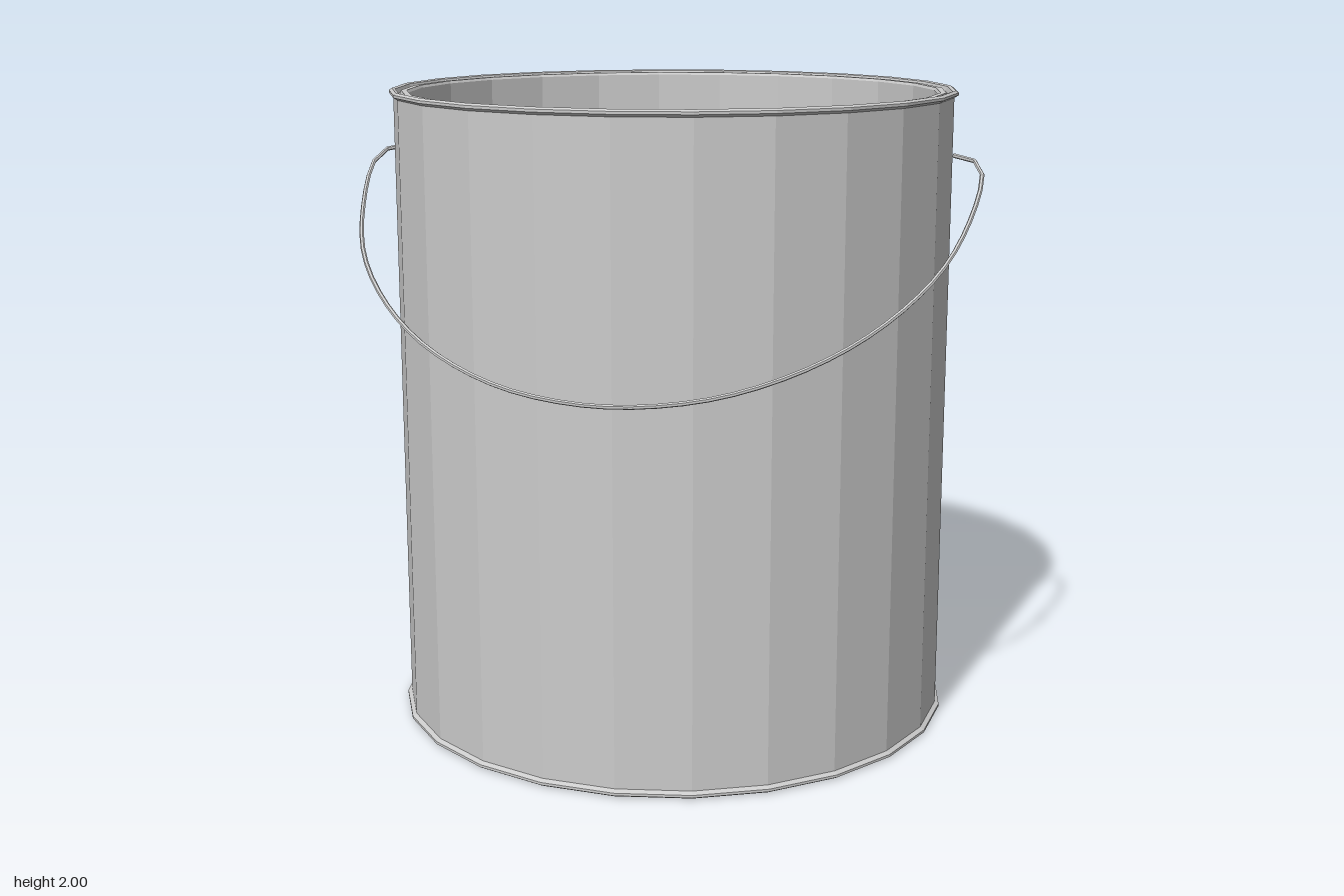
import * as THREE from 'three';

const SIDES = 24;
const CENTRE_Z = -0.033;

function lathe(name, profile, material) {
  const points = profile.map(([r, y]) => new THREE.Vector2(r, y));
  const mesh = new THREE.Mesh(new THREE.LatheGeometry(points, SIDES), material);
  mesh.name = name;
  mesh.position.z = CENTRE_Z;
  return mesh;
}

export function createModel() {
  const model = new THREE.Group();
  model.name = 'paintCan';
  const metal = new THREE.MeshStandardMaterial({
    color: 0xcccccc, flatShading: true, side: THREE.DoubleSide,
  });

  // Outer wall, inner wall and floor
  model.add(lathe('outerWall', [[0.872, 0.015], [0.872, 1.985]], metal));
  model.add(lathe('innerWall', [[0.825, 1.985], [0.825, 0.02], [0, 0.02]], metal));

  // Flat underside with its rolled seam
  model.add(lathe('base', [[0, 0.004], [0.865, 0.004], [0.875, 0], [0.885, 0.006], [0.885, 0.014], [0.872, 0.022]], metal));

  // Rolled rim, groove and inner lip
  model.add(lathe('rim', [
    [0.872, 1.978], [0.885, 1.986], [0.885, 1.994], [0.876, 2], [0.866, 1.997],
    [0.86, 1.982], [0.852, 1.982], [0.848, 1.993], [0.83, 1.993], [0.825, 1.985],
  ], metal));

  // Wire handle: one half listed from the hooked end to the middle, then mirrored
  const half = [
    [-0.875, 1.803, -0.035], [-0.94, 1.79, -0.012], [-0.966, 1.76, 0.035], [-0.943, 1.635, 0.22],
    [-0.868, 1.505, 0.425], [-0.725, 1.382, 0.61], [-0.547, 1.29, 0.755],
    [-0.325, 1.222, 0.86], [-0.1, 1.192, 0.905],
  ].map((p) => new THREE.Vector3(...p));
  const mirrored = half.map((p) => new THREE.Vector3(-p.x, p.y, p.z)).reverse();
  const path = new THREE.CatmullRomCurve3([...half, ...mirrored], false, 'centripetal');
  const handle = new THREE.Mesh(new THREE.TubeGeometry(path, 48, 0.007, 6), metal);
  handle.name = 'wireHandle';
  model.add(handle);

  return model;
}
